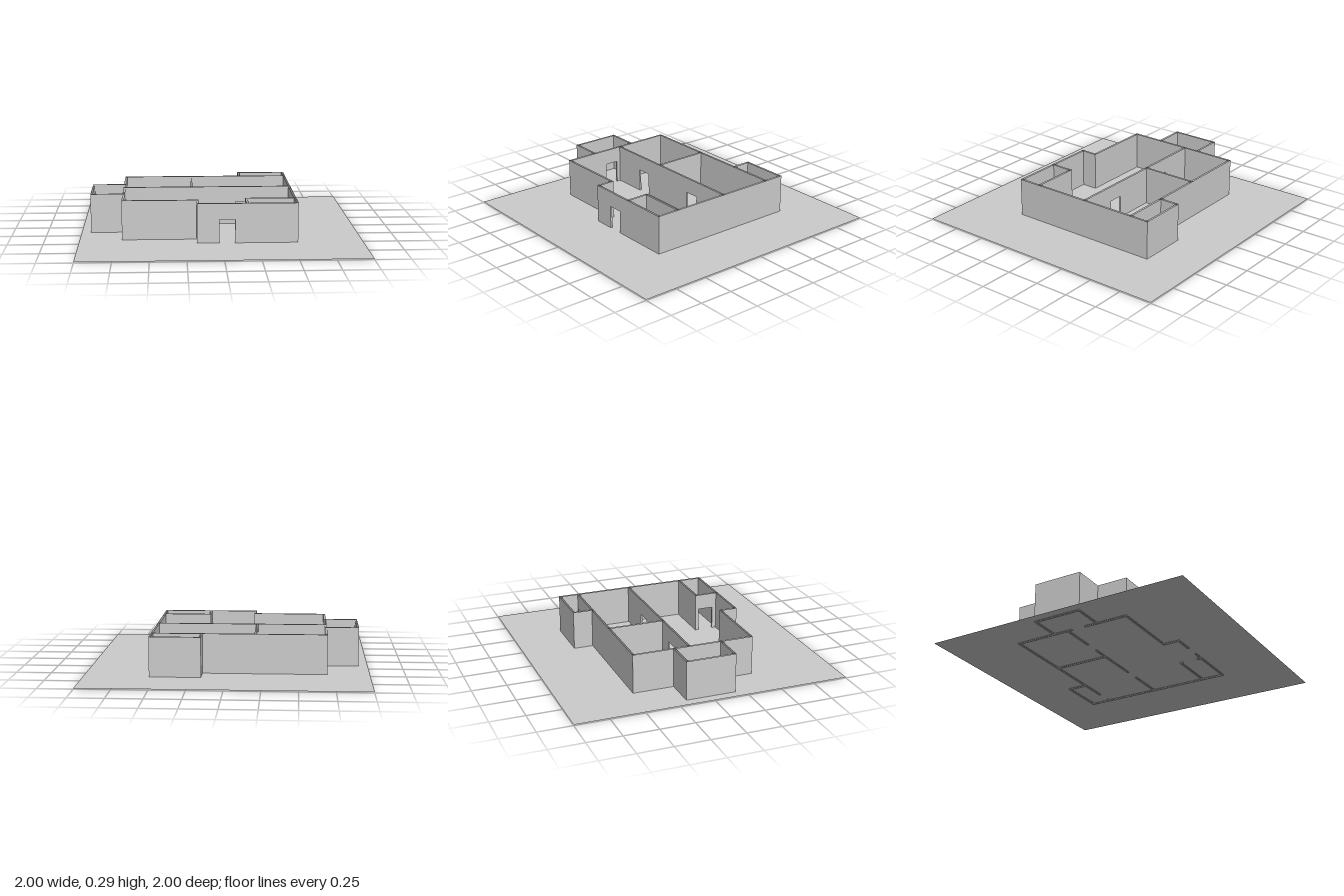
import * as THREE from 'three';

const WALL_H = 0.29, DOOR_H = 0.175, T = 0.014, GROUND_Y = 0.006;
const mat = new THREE.MeshStandardMaterial({ color: 0xcccccc, side: THREE.DoubleSide });

// Hollow wall from u0 to u1 with doorways cut up from the floor; top and bottom stay open
function wallGeometry(u0, u1, doors) {
  const s = new THREE.Shape();
  s.moveTo(u0 - T / 2, 0);
  for (const [a, b] of doors) {
    s.lineTo(a, 0);
    s.lineTo(a, DOOR_H);
    s.lineTo(b, DOOR_H);
    s.lineTo(b, 0);
  }
  s.lineTo(u1 + T / 2, 0);
  s.lineTo(u1 + T / 2, WALL_H);
  s.lineTo(u0 - T / 2, WALL_H);
  const full = new THREE.ExtrudeGeometry(s, { depth: T, bevelEnabled: false });
  const p = full.attributes.position;
  const kept = [];
  for (let i = 0; i < p.count; i += 3) {
    const y = [p.getY(i), p.getY(i + 1), p.getY(i + 2)];
    const isCap = [0, WALL_H].some(h => y.every(v => Math.abs(v - h) < 1e-5));
    if (isCap) continue;
    for (let k = i; k < i + 3; k++) kept.push(p.getX(k), p.getY(k), p.getZ(k) - T / 2);
  }
  const g = new THREE.BufferGeometry();
  g.setAttribute('position', new THREE.Float32BufferAttribute(kept, 3));
  g.computeVertexNormals();
  return g;
}

export function createModel() {
  const model = new THREE.Group();
  model.name = 'floorPlanHouse';

  const ground = new THREE.Mesh(new THREE.PlaneGeometry(2, 2).rotateX(-Math.PI / 2), mat);
  ground.position.y = GROUND_Y;
  ground.name = 'ground';
  model.add(ground);

  // Walls running along x: name, z, start, end, doorways
  const alongX = [
    ['alcoveBackWall', -0.619, 0.184, 0.533, []],
    ['backWall', -0.476, -0.694, 0.533, [[0.395, 0.508]]],
    ['middleWall', -0.066, -0.694, 0.533, [[-0.433, -0.321], [0.13, 0.242]]],
    ['closetWall', 0.355, 0.184, 0.533, []],
    ['frontSideWall', 0.403, -0.694, -0.164, []],
    ['entranceWall', 0.522, -0.164, 0.533, [[-0.016, 0.096]]],
    ['annexBackWall', -0.178, -0.926, -0.694, []],
    ['annexFrontWall', 0.172, -0.926, -0.694, []],
  ];
  // Walls running along z: name, x, start, end, doorways
  const alongZ = [
    ['outerWallLeft', 0.533, -0.619, 0.522, []],
    ['outerWallRight', -0.694, -0.476, 0.403, [[-0.03, 0.073]]],
    ['annexOuterWall', -0.926, -0.178, 0.172, []],
    ['alcoveSideWall', 0.184, -0.619, -0.476, []],
    ['bedroomPartition', -0.195, -0.476, -0.066, []],
    ['closetDoorWall', 0.184, 0.355, 0.522, [[0.373, 0.485]]],
    ['entranceSideWall', -0.164, 0.403, 0.522, []],
  ];
  const walls = new THREE.Group();
  walls.name = 'walls';
  const addWall = (name, geometry, x, z) => {
    const mesh = new THREE.Mesh(geometry, mat);
    mesh.name = name;
    mesh.position.set(x, 0, z);
    walls.add(mesh);
  };
  for (const [name, z, a, b, doors] of alongX) addWall(name, wallGeometry(a, b, doors), 0, z);
  for (const [name, x, a, b, doors] of alongZ)
    addWall(name, wallGeometry(a, b, doors).rotateY(-Math.PI / 2), x, 0);
  model.add(walls);
  return model;
}
